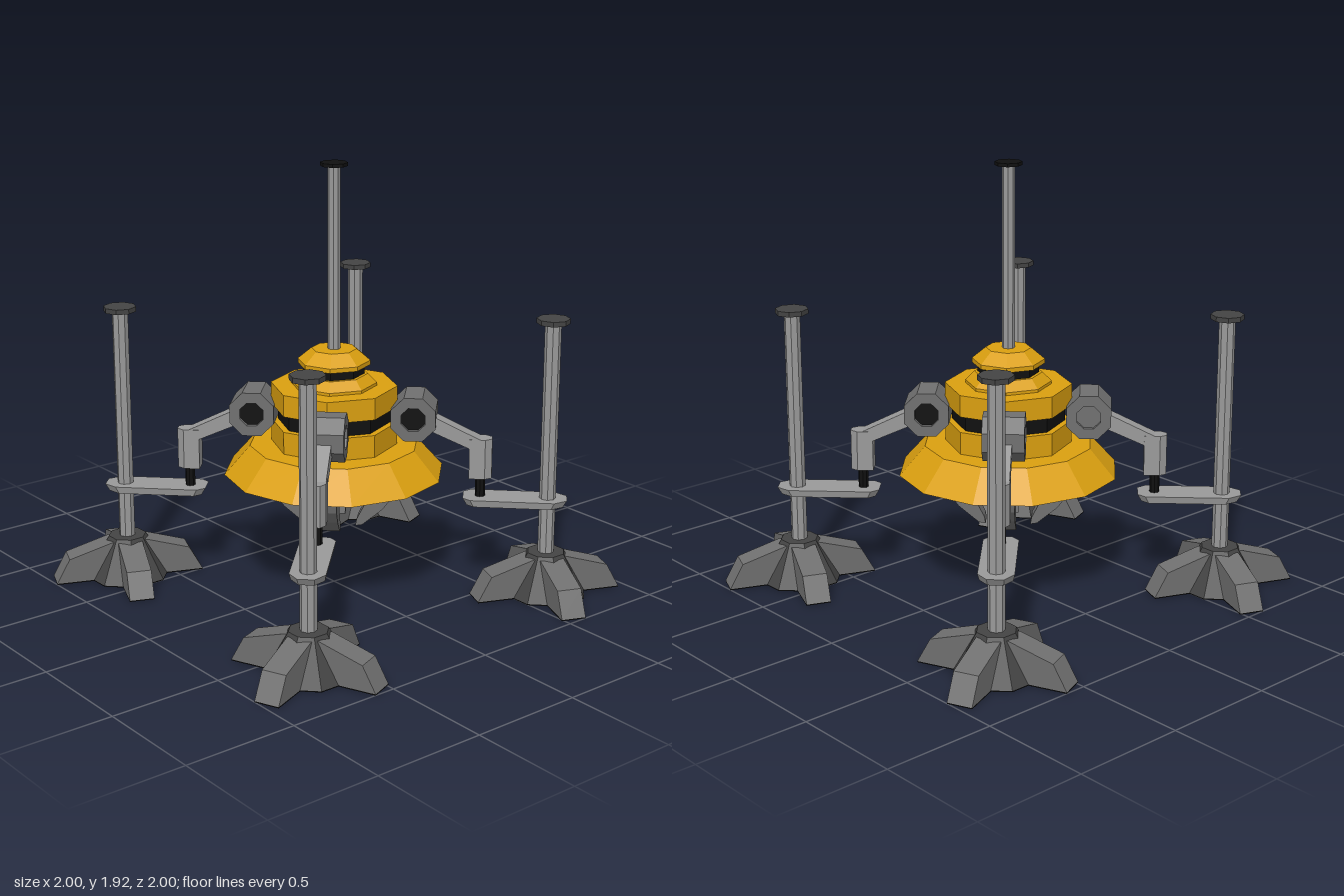
import * as THREE from 'three';

const mat = (name, color) => Object.assign(new THREE.MeshStandardMaterial({ color }), { name });

export function createModel() {
  const yellow = mat('yellow paint', 0xdba010);
  const light = mat('light grey metal', 0x9a9a9a);
  const grey = mat('mid grey metal', 0x707070);
  const dark = mat('dark grey metal', 0x444444);
  const black = mat('black rubber', 0x101010);

  const model = new THREE.Group();

  function add(parent, name, geometry, material, x = 0, y = 0, z = 0) {
    const mesh = new THREE.Mesh(geometry, material);
    mesh.name = name;
    mesh.position.set(x, y, z);
    parent.add(mesh);
    return mesh;
  }
  // faceted drum or cone between two heights
  function drum(parent, name, material, rTop, rBottom, y0, y1, sides = 8, x = 0) {
    const g = new THREE.CylinderGeometry(rTop, rBottom, y1 - y0, sides).toNonIndexed();
    g.computeVertexNormals();
    return add(parent, name, g, material, x, (y0 + y1) / 2, 0);
  }
  const shapeOf = pts => new THREE.Shape(pts.map(p => new THREE.Vector2(...p)));
  const ngon = (r, n, turn = 0) => Array.from({ length: n }, (_, i) => {
    const a = turn + i / n * Math.PI * 2;
    return [r * Math.cos(a), r * Math.sin(a)];
  });
  // side profile (radius, height) extruded evenly about z = 0
  function plate(shape, width) {
    return new THREE.ExtrudeGeometry(shape, { depth: width, bevelEnabled: false })
      .translate(0, 0, -width / 2);
  }
  // plan outline raised from y0 to y1, with the lower face drawn in by `inset`
  function prism(pts, y0, y1, inset = 1, cx = 0) {
    const g = new THREE.ExtrudeGeometry(shapeOf(pts), { depth: y1 - y0, bevelEnabled: false });
    g.rotateX(-Math.PI / 2);
    const p = g.attributes.position;
    for (let i = 0; i < p.count; i++) {
      if (p.getY(i) < 1e-5) {
        p.setX(i, cx + (p.getX(i) - cx) * inset);
        p.setZ(i, p.getZ(i) * inset);
      }
    }
    g.translate(0, y0, 0);
    g.computeVertexNormals();
    return g;
  }

  // central body, stacked from the bottom up
  const body = new THREE.Group();
  body.name = 'body';
  model.add(body);
  drum(body, 'bottomPlate', black, 0.33, 0.33, 0.515, 0.545, 12);
  drum(body, 'skirt', yellow, 0.375, 0.49, 0.54, 0.67, 12);
  drum(body, 'lowerHull', yellow, 0.28, 0.28, 0.665, 0.77);
  drum(body, 'hullBand', black, 0.25, 0.25, 0.76, 0.85);
  drum(body, 'upperHull', yellow, 0.28, 0.28, 0.84, 0.937);
  drum(body, 'shoulder', yellow, 0.19, 0.19, 0.93, 0.95);
  drum(body, 'neck', yellow, 0.15, 0.19, 0.95, 0.99);
  drum(body, 'neckBand', black, 0.135, 0.135, 0.985, 1.035);
  drum(body, 'capRim', yellow, 0.16, 0.16, 1.03, 1.05);
  drum(body, 'cap', yellow, 0.1, 0.16, 1.05, 1.1);
  drum(body, 'mast', light, 0.028, 0.028, 1.09, 1.91);
  drum(body, 'mastTip', black, 0.06, 0.06, 1.905, 1.92);

  // hinge drum: octagonal ring with a hole
  const R = 0.948;
  const hingeShape = shapeOf(ngon(0.106, 8, Math.PI / 8));
  hingeShape.holes.push(new THREE.Path(ngon(0.056, 8, Math.PI / 8).reverse().map(p => new THREE.Vector2(...p))));
  const hingeGeo = plate(hingeShape, 0.18);
  const hubGeo = plate(shapeOf(ngon(0.057, 8, Math.PI / 8)), 0.07);

  const forearmGeo = plate(shapeOf([[0.38, 0.765], [0.62, 0.66], [0.67, 0.7], [0.65, 0.71], [0.38, 0.84]]), 0.075);
  const legGeo = prism([[0.6, -0.04], [0.67, -0.04], [0.7, -0.018], [0.7, 0.018], [0.67, 0.04], [0.6, 0.04]], 0.53, 0.712);
  const w = 0.075;
  const linkGeo = prism([
    [0.575, -0.045], [0.61, -w], [R + 0.03, -w], [R + 0.085, -0.035],
    [R + 0.085, 0.035], [R + 0.03, w], [0.61, w], [0.575, 0.045],
  ], 0.41, 0.442, 0.92, 0.8);
  const clawGeo = plate(shapeOf([
    [0.15, 0.52], [0.14, 0.39], [0.105, 0.32], [0.1, 0.29], [0.13, 0.295],
    [0.22, 0.37], [0.265, 0.43], [0.29, 0.52],
  ]), 0.08);
  const toeGeo = plate(shapeOf([[0, 0.005], [0.335, 0.005], [0.275, 0.115], [0.08, 0.175], [0, 0.175]]), 0.11);
  const soleGeo = new THREE.BoxGeometry(0.335, 0.005, 0.11).translate(0.1675, 0.0025, 0);

  // four legs on the diagonals; local +x points outwards
  for (const sx of [-1, 1]) for (const sz of [-1, 1]) {
    const leg = new THREE.Group();
    leg.name = (sz > 0 ? 'front' : 'back') + (sx > 0 ? 'Left' : 'Right') + 'Leg';
    leg.rotation.y = -Math.atan2(sz, sx);
    model.add(leg);

    add(leg, 'hinge', hingeGeo, grey, 0.355, 0.81);
    // the hubs that face the back are bare metal
    for (const t of [-1, 1]) {
      const facesBack = sz < 0 && t === sx * -1;
      add(leg, 'hingeHub', hubGeo, facesBack ? grey : black, 0.355, 0.81, t * 0.035);
    }
    add(leg, 'arm', forearmGeo, light);
    add(leg, 'elbow', legGeo, light);
    drum(leg, 'axle', black, 0.022, 0.022, 0.435, 0.535, 8, 0.65);
    add(leg, 'link', linkGeo, light);
    drum(leg, 'post', light, 0.036, 0.036, 0.16, 1.245, 8, R);
    drum(leg, 'postCap', dark, 0.073, 0.073, 1.24, 1.262, 8, R);
    add(leg, 'claw', clawGeo, grey);

    // splayed foot with four toes
    const foot = new THREE.Group();
    foot.name = 'foot';
    foot.position.x = R;
    foot.rotation.y = -sx * sz * Math.PI / 8 - leg.rotation.y;
    leg.add(foot);
    drum(foot, 'footHub', dark, 0.085, 0.19, 0.005, 0.19);
    drum(foot, 'footSole', black, 0.19, 0.19, 0, 0.005);
    for (let i = 0; i < 4; i++) {
      add(foot, 'toe', toeGeo, grey).rotation.y = i * Math.PI / 2;
      add(foot, 'toeSole', soleGeo, black).rotation.y = i * Math.PI / 2;
    }
  }
  return model;
}
